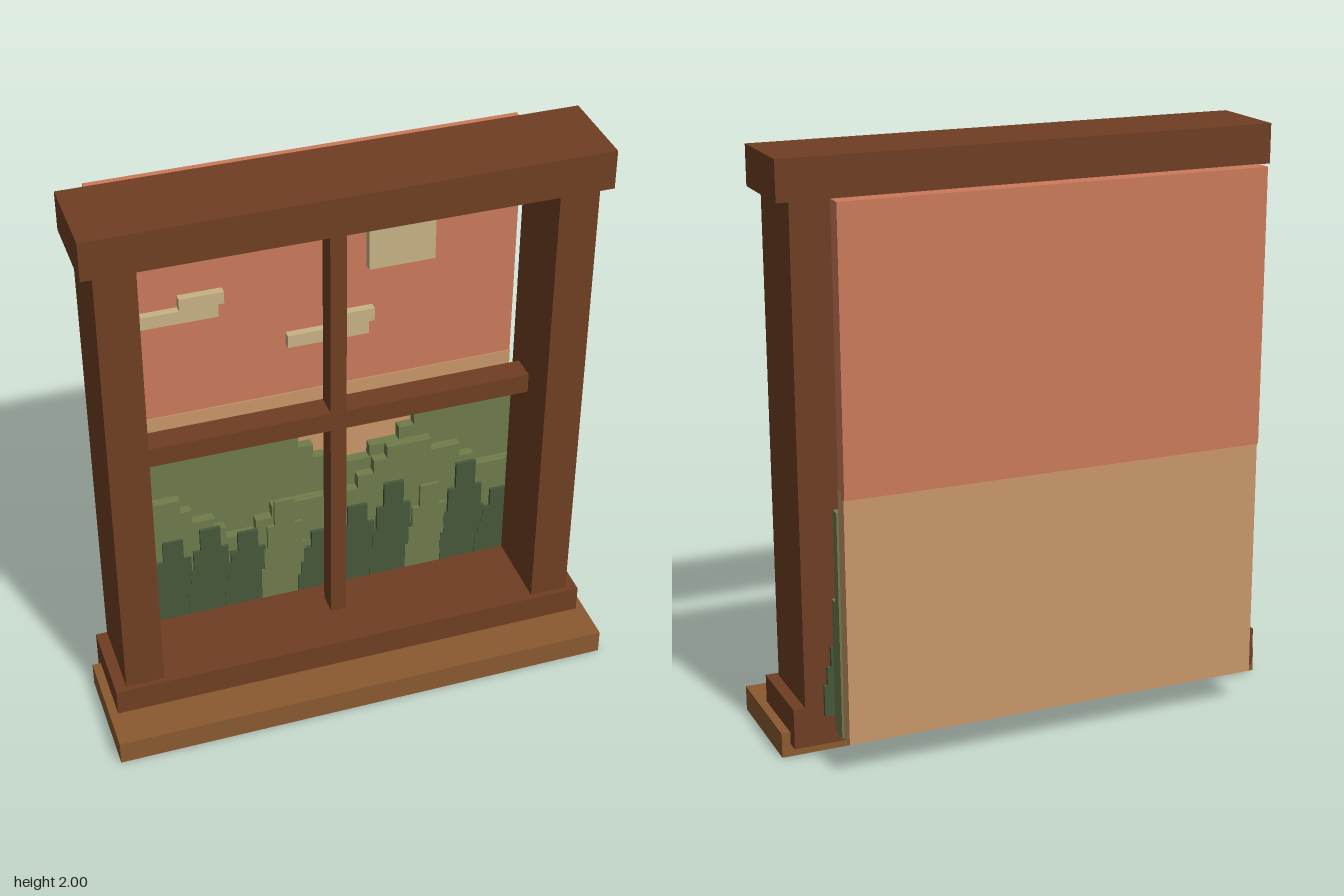
import * as THREE from 'three';

const mat = (name, color) => {
  const m = new THREE.MeshStandardMaterial({ color });
  m.name = name;
  return m;
};

export function createModel() {
  const root = new THREE.Group();
  root.name = 'windowWithLandscape';

  const frameWood = mat('frame wood', 0x6f3e22);
  const sillWood = mat('sill wood', 0x8a5a30);
  const skyRed = mat('sunset sky', 0xcb7a5b);
  const skyPeach = mat('horizon sky', 0xc9976a);
  const cream = mat('sun and cloud cream', 0xc8b285);
  const olive = mat('hill olive', 0x6f7b4b);
  const pine = mat('pine green', 0x45583a);

  // box given by its limits on each axis
  const box = (name, m, x0, x1, y0, y1, z0, z1, parent = root) => {
    const mesh = new THREE.Mesh(new THREE.BoxGeometry(x1 - x0, y1 - y0, z1 - z0), m);
    mesh.position.set((x0 + x1) / 2, (y0 + y1) / 2, (z0 + z1) / 2);
    mesh.name = name;
    parent.add(mesh);
  };

  // flat slab with a stepped top; steps are [right edge x, top y]
  const steppedSlab = (name, m, left, bottom, steps, z0, z1) => {
    const shape = new THREE.Shape();
    const right = steps[steps.length - 1][0];
    shape.moveTo(right, bottom);
    for (let i = steps.length - 1; i >= 0; i--) {
      shape.lineTo(steps[i][0], steps[i][1]);
      shape.lineTo(i ? steps[i - 1][0] : left, steps[i][1]);
    }
    shape.lineTo(left, bottom);
    const geo = new THREE.ExtrudeGeometry(shape, { depth: z1 - z0, bevelEnabled: false });
    const mesh = new THREE.Mesh(geo, m);
    mesh.position.z = z0;
    mesh.name = name;
    root.add(mesh);
  };

  // frame
  box('topRail', frameWood, -0.86, 0.86, 1.865, 2.0, -0.13, 0.18);
  box('bottomRail', frameWood, -0.86, 0.86, 0.045, 0.185, -0.13, 0.18);
  box('leftPost', frameWood, 0.685, 0.82, 0.18, 1.87, -0.13, 0.16);
  box('rightPost', frameWood, -0.82, -0.685, 0.18, 1.87, -0.13, 0.16);
  box('verticalBar', frameWood, -0.03, 0.026, 0.18, 1.87, -0.065, 0.015);
  box('horizontalBar', frameWood, -0.685, 0.682, 1.0, 1.072, -0.07, 0.018);
  box('windowSill', sillWood, -0.89, 0.89, 0, 0.087, -0.085, 0.327);

  // sky
  box('upperSky', skyRed, -0.737, 0.733, 0.955, 1.895, -0.328, -0.27);
  box('lowerSky', skyPeach, -0.737, 0.733, 0.12, 0.975, -0.32, -0.266);
  box('sun', cream, 0.19, 0.426, 1.44, 1.675, -0.27, -0.238);

  const clouds = new THREE.Group();
  clouds.name = 'clouds';
  root.add(clouds);
  for (const [x0, x1, y0, y1] of [
    [-0.62, -0.337, 1.366, 1.414], [-0.47, -0.316, 1.414, 1.46],
    [-0.1, 0.19, 1.187, 1.235], [0.07, 0.21, 1.235, 1.285],
    [0.515, 0.69, 1.675, 1.725],
  ]) box('cloudBlock', cream, x0, x1, y0, y1, -0.262, -0.234, clouds);

  // hills
  steppedSlab('farHill', olive, -0.733, 0.105, [
    [-0.625, 0.83], [-0.405, 0.885], [-0.08, 0.83], [-0.025, 0.78], [0.02, 0.725],
    [0.185, 0.675], [0.295, 0.725], [0.35, 0.78], [0.62, 0.83], [0.73, 0.885],
  ], -0.236, -0.2);
  steppedSlab('nearHill', olive, -0.733, 0.105, [
    [-0.52, 0.68], [-0.48, 0.625], [-0.4, 0.57], [-0.36, 0.52], [-0.25, 0.47],
    [-0.19, 0.52], [0.13, 0.57], [0.19, 0.625], [0.24, 0.68], [0.405, 0.73],
    [0.515, 0.68], [0.57, 0.625], [0.73, 0.57],
  ], -0.2, -0.166);

  // row of stepped trees, each a little in front of its neighbour
  const heights = [0.51, 0.51, 0.535, 0.49, 0.6, 0.43, 0.51, 0.585, 0.545, 0.615, 0.465];
  const tiers = [[0.037, 1], [0.064, 0.76], [0.078, 0.54], [0.09, 0.34]];
  const base = 0.15;
  heights.forEach((top, i) => {
    const cx = -0.692 + i * 0.1358;
    const level = (t) => base + (top - base) * t;
    const steps = [
      ...tiers.slice(1).reverse().map(([, t], k) => [cx - tiers[2 - k][0], level(t)]),
      ...tiers.map(([w, t]) => [cx + w, level(t)]),
    ];
    const z = -0.173 + i * 0.003;
    steppedSlab(i % 4 ? 'darkTree' : 'oliveTree', i % 4 ? pine : olive, cx - 0.09, base, steps, z, z + 0.013);
  });

  return root;
}
